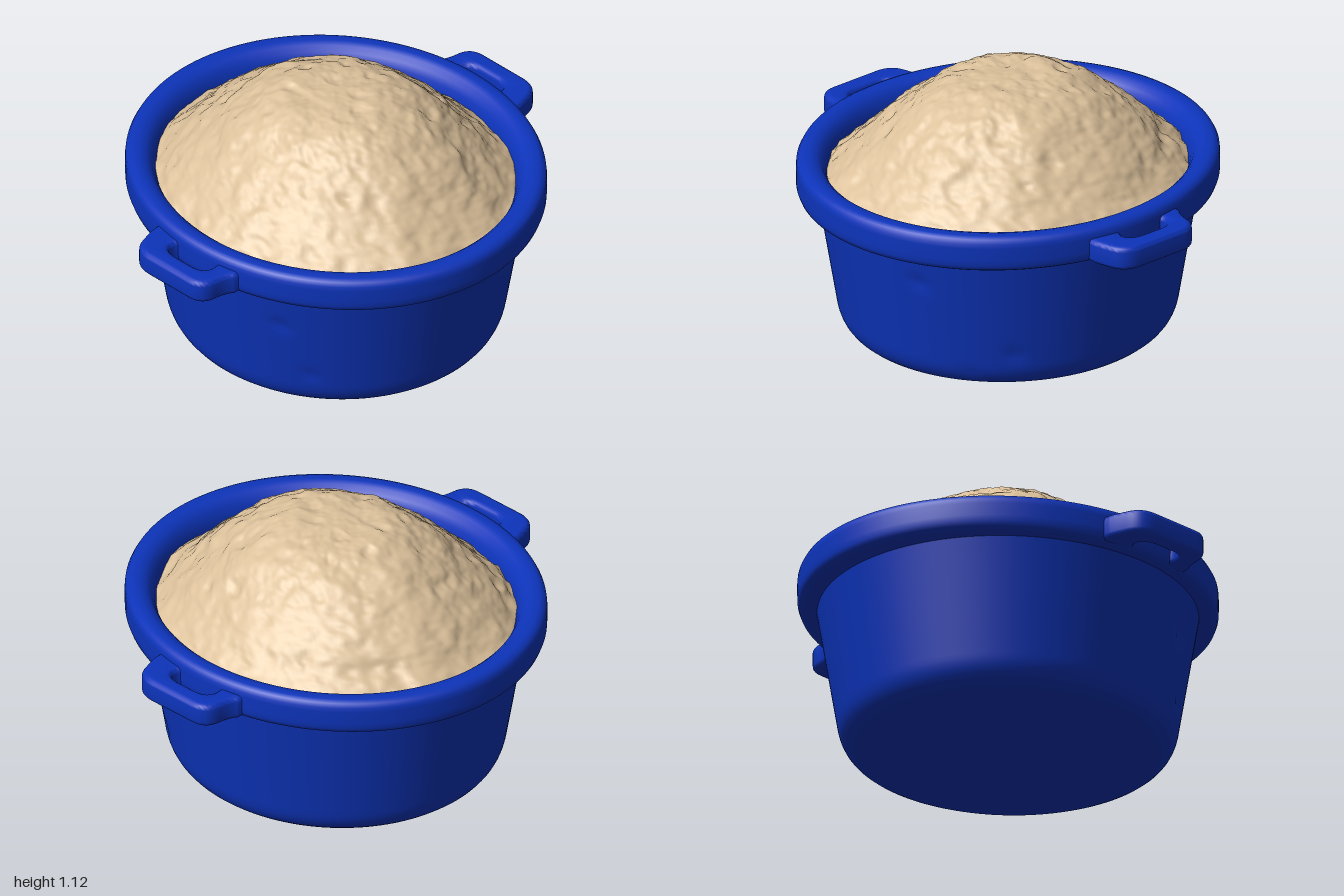
import * as THREE from 'three';
import { mergeVertices, toCreasedNormals } from 'three/addons/utils/BufferGeometryUtils.js';

const blue = new THREE.MeshStandardMaterial({ color: 0x0d34bb });
blue.name = 'pot blue';
const sand = new THREE.MeshStandardMaterial({ color: 0xdcc19b });
sand.name = 'sand beige';

// Seeded 3D value noise in the range -1..1
function hash(x, y, z) {
  let h = Math.imul(x, 374761393) ^ Math.imul(y, 668265263) ^ Math.imul(z, 1274126177);
  h = Math.imul(h ^ (h >>> 13), 1103515245);
  return ((h ^ (h >>> 16)) >>> 0) / 2147483648 - 1;
}
function noise(x, y, z) {
  const i = Math.floor(x), j = Math.floor(y), k = Math.floor(z);
  const s = (t) => t * t * (3 - 2 * t);
  const u = s(x - i), v = s(y - j), w = s(z - k);
  const mix = THREE.MathUtils.lerp;
  const row = (b, c) => mix(hash(i, b, c), hash(i + 1, b, c), u);
  return mix(mix(row(j, k), row(j + 1, k), v), mix(row(j, k + 1), row(j + 1, k + 1), v), w);
}

function named(name, geometry, material) {
  const mesh = new THREE.Mesh(geometry, material);
  mesh.name = name;
  return mesh;
}

// Join the lathe seam and move every vertex by a rule
function reshape(geometry, rule) {
  geometry.deleteAttribute('uv');
  geometry.deleteAttribute('normal');
  const g = mergeVertices(geometry, 1e-5);
  const pos = g.attributes.position;
  const p = new THREE.Vector3();
  for (let i = 0; i < pos.count; i++) {
    p.fromBufferAttribute(pos, i);
    rule(p);
    pos.setXYZ(i, p.x, p.y, p.z);
  }
  g.computeVertexNormals();
  return g;
}

// Tapered tub with a rounded foot and a few small dents
function makeTub() {
  const path = new THREE.Path();
  path.moveTo(0, 0.005);
  path.lineTo(0.59, 0.005);
  path.bezierCurveTo(0.65, 0.005, 0.685, 0.04, 0.7, 0.11);
  path.lineTo(0.787, 0.65);
  const dents = [[-0.6, 0.18], [0.28, 0.5], [0.58, 0.17], [0.44, 0.07], [-0.68, 0.45]]
    .map(([x, y]) => new THREE.Vector3(x, y, Math.sqrt(0.51 + 0.13 * y - x * x)));
  const g = reshape(new THREE.LatheGeometry(path.getSpacedPoints(60), 160), (p) => {
    let push = 0;
    for (const d of dents) push += 0.016 * Math.exp(-p.distanceToSquared(d) / 0.0011);
    p.x *= 1 - push;
    p.z *= 1 - push;
  });
  return g.scale(1, 1, 1.04);
}

// Thick rolled rim, continuing a little way down the inner wall
function makeRim() {
  const profile = [
    [0.74, 0.632], [0.8, 0.632], [0.82, 0.634], [0.839, 0.645], [0.846, 0.665], [0.847, 0.69],
    [0.847, 0.745], [0.845, 0.765], [0.836, 0.783], [0.817, 0.792], [0.79, 0.792], [0.765, 0.784],
    [0.744, 0.764], [0.73, 0.735], [0.72, 0.7], [0.715, 0.64],
  ].map(([r, y]) => new THREE.Vector2(r, y));
  return new THREE.LatheGeometry(profile, 128).scale(1, 1, 1.083);
}

// Flat loop handle with a slot and rounded edges
function makeHandle() {
  const s = new THREE.Shape();
  s.moveTo(0.77, -0.25);
  s.lineTo(0.84, -0.25);
  s.quadraticCurveTo(0.87, -0.245, 0.92, -0.23);
  s.quadraticCurveTo(1, -0.21, 1, -0.12);
  s.lineTo(1, 0.11);
  s.quadraticCurveTo(1, 0.185, 0.93, 0.198);
  s.quadraticCurveTo(0.87, 0.205, 0.84, 0.23);
  s.lineTo(0.77, 0.23);
  s.closePath();
  const slot = new THREE.Path();
  slot.moveTo(0.825, 0.1);
  slot.quadraticCurveTo(0.83, 0.125, 0.87, 0.12);
  slot.quadraticCurveTo(0.915, 0.11, 0.915, 0.05);
  slot.lineTo(0.915, -0.05);
  slot.quadraticCurveTo(0.91, -0.11, 0.875, -0.113);
  slot.quadraticCurveTo(0.84, -0.113, 0.825, -0.08);
  slot.closePath();
  s.holes.push(slot);
  const g = new THREE.ExtrudeGeometry(s, {
    depth: 0.061, bevelEnabled: true, bevelThickness: 0.022, bevelSize: 0.022,
    bevelOffset: -0.022, bevelSegments: 4, curveSegments: 10,
  });
  g.rotateX(-Math.PI / 2).translate(0, 0.662, 0);
  return toCreasedNormals(g, 0.8);
}

// Heaped mound with a crumbly surface
function makeMound() {
  const curve = new THREE.SplineCurve([
    [0.75, 0.685], [0.63, 0.795], [0.53, 0.895], [0.425, 0.99], [0.315, 1.07],
    [0.21, 1.112], [0.1, 1.125], [0, 1.127],
  ].map(([r, y]) => new THREE.Vector2(r, y)));
  const points = curve.getSpacedPoints(110);
  points[110].x = 0;
  const g = new THREE.LatheGeometry(points, 240).scale(1, 1, 1.085);
  return reshape(g, (p) => {
    const n = (f) => noise(p.x * f + 31.3, p.y * f + 17.7, p.z * f + 53.1);
    const crumbs = Math.max(0, n(13) - 0.25) * 0.02;
    const d = n(4.5) * 0.011 + n(10) * 0.008 + n(23) * 0.0055 + n(45) * 0.003 - crumbs;
    const out = new THREE.Vector3(p.x, 0.3 + p.y * 0.3, p.z).normalize();
    p.addScaledVector(out, d);
  });
}

export function createModel() {
  const model = new THREE.Group();
  model.name = 'filledPot';
  model.add(named('tub', makeTub(), blue));
  model.add(named('rim', makeRim(), blue));

  const handle = makeHandle();
  const left = named('leftHandle', handle, blue);
  const right = named('rightHandle', handle, blue);
  right.rotation.y = Math.PI;
  model.add(left, right);

  model.add(named('sandMound', makeMound(), sand));
  return model;
}
